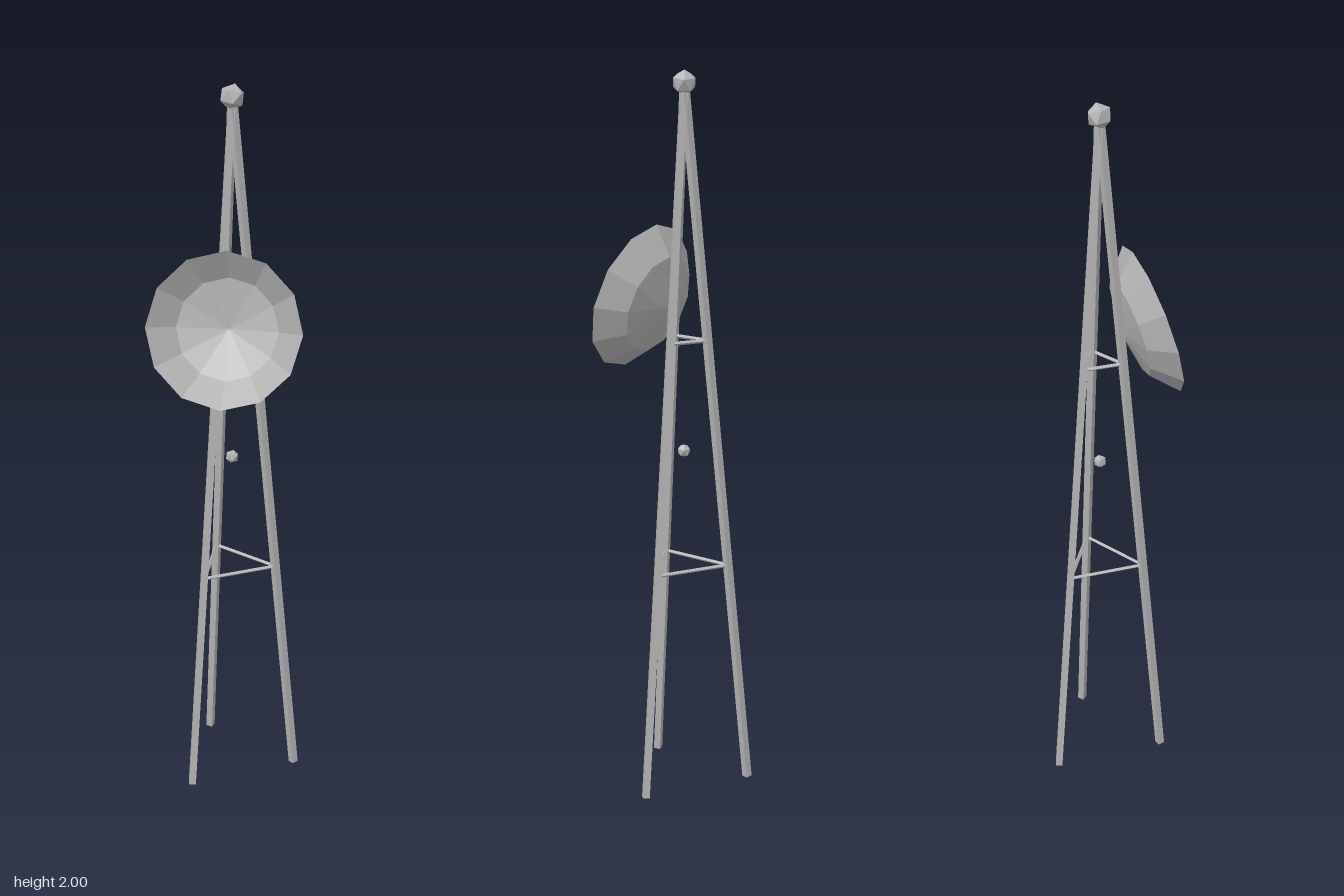
import * as THREE from 'three';

export function createModel() {
  const model = new THREE.Group();
  model.name = 'dishTower';
  const grey = new THREE.MeshStandardMaterial({ color: 0xb2b2b2, flatShading: true, side: THREE.DoubleSide });
  grey.name = 'grey metal';

  const footRadius = 0.184, apex = 1.962, axisZ = -0.015;

  const add = (parent, name, geometry) => {
    const mesh = new THREE.Mesh(geometry, grey);
    mesh.name = name;
    parent.add(mesh);
    return mesh;
  };

  // Three identical sides, each a leaning leg and the braces opposite it
  const tripod = new THREE.Group();
  tripod.name = 'tripod';
  tripod.position.z = axisZ;
  model.add(tripod);
  for (let i = 0; i < 3; i++) {
    const side = new THREE.Group();
    side.name = 'tripodSide';
    side.rotation.y = (i * Math.PI * 2) / 3;
    tripod.add(side);

    const leg = add(side, 'leg', new THREE.CylinderGeometry(0.0135, 0.0135, Math.hypot(footRadius, apex), 4));
    leg.position.set(footRadius / 2, apex / 2 + 0.001, 0);
    leg.rotation.z = Math.atan2(footRadius, apex);

    for (const y of [0.645, 1.285]) {
      const r = footRadius * (1 - y / apex);
      const brace = add(side, 'brace', new THREE.CylinderGeometry(0.0055, 0.0055, r * Math.sqrt(3), 4));
      brace.position.set(-r / 2, y, 0);
      brace.rotation.x = Math.PI / 2;
    }
  }

  // Faceted cap on the peak and small hub hanging inside the legs
  for (const [name, y, r] of [['topBall', 1.967, 0.034], ['hubBall', 0.975, 0.019]]) {
    const ball = add(tripod, name, new THREE.IcosahedronGeometry(r, 0));
    ball.position.y = y;
    ball.rotation.set(-0.17, 0, 0.36);
  }

  // Shallow open dish, tilted slightly upward
  const tilt = 0.268;
  const profile = [[0, -0.092], [0.137, -0.063], [0.2075, 0]].map(([r, y]) => new THREE.Vector2(r, y));
  const dish = add(model, 'dish', new THREE.LatheGeometry(profile, 12));
  dish.position.set(0, 1.39, 0.13);
  dish.rotation.x = Math.PI / 2 - tilt;

  return model;
}
